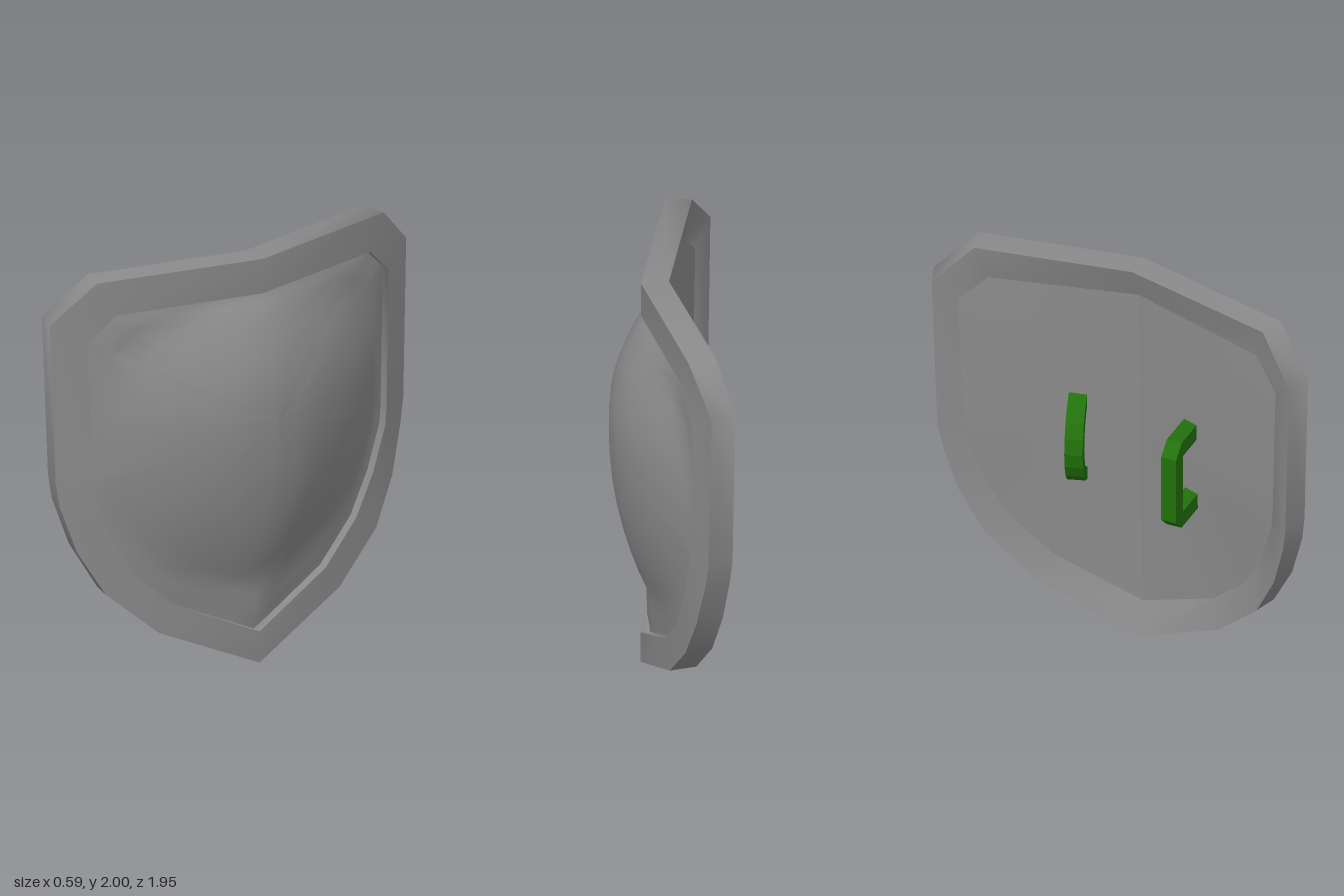
import * as THREE from 'three';
import { toCreasedNormals } from 'three/addons/utils/BufferGeometryUtils.js';

// Matching [z, y] corners of the rim's outer and inner edge
const OUTER = [[0, 2], [0.79, 2], [0.98, 1.8], [0.955, 1.02], [0.94, 0.9], [0.87, 0.67], [0.75, 0.45], [0.51, 0.23],
  [0.02, 0], [-0.49, 0.23], [-0.73, 0.45], [-0.85, 0.67], [-0.92, 0.9], [-0.945, 1.02], [-0.97, 1.8], [-0.78, 2]];
const INNER = [[0, 1.83], [0.7, 1.83], [0.83, 1.7], [0.81, 1.02], [0.8, 0.94], [0.73, 0.73], [0.62, 0.53], [0.43, 0.35],
  [0.02, 0.155], [-0.4, 0.35], [-0.6, 0.54], [-0.71, 0.73], [-0.79, 0.94], [-0.8, 1.02], [-0.82, 1.7], [-0.69, 1.83]];

// Piecewise linear lookup through [input, output] pairs
function lookup(table, t) {
  for (let i = 1; i < table.length; i++) {
    const [a, va] = table[i - 1], [b, vb] = table[i];
    if (t <= b || i === table.length - 1) return va + (vb - va) * (t - a) / (b - a);
  }
}

// Folded shape of the shield: x of the rim's front and back at a given z
const frontX = (z) => lookup([[-0.97, -0.05], [-0.79, 0.03], [-0.5, 0.08], [0.01, 0.15], [0.51, 0.03], [0.79, -0.07], [0.98, -0.18]], z);
const backX = (z) => lookup([[-0.94, -0.17], [-0.75, -0.1], [-0.5, -0.05], [0.01, 0.02], [0.5, -0.09], [0.76, -0.19], [0.94, -0.3]], z);
// Inner lip of the back, set deeper near the fold
const lipX = (z) => backX(z) + 0.02 + 0.055 * Math.max(0, 1 - Math.abs(z) / 0.8);

const mix = (p, q, t) => [p[0] + (q[0] - p[0]) * t, p[1] + (q[1] - p[1]) * t];

// Skin a series of closed rings of Vector3
function loft(rings) {
  const n = rings[0].length, index = [];
  for (let k = 0; k < rings.length - 1; k++) {
    for (let i = 0; i < n; i++) {
      const j = (i + 1) % n;
      const a = k * n + i, b = k * n + j, c = b + n, d = a + n;
      index.push(a, b, c, a, c, d);
    }
  }
  const g = new THREE.BufferGeometry().setFromPoints(rings.flat());
  g.setIndex(index);
  g.computeVertexNormals();
  return g;
}

// Split each outline segment so long edges can bend
const subdivide = (pts, parts) => pts.flatMap((p, i) =>
  Array.from({ length: parts }, (_, k) => mix(p, pts[(i + 1) % pts.length], k / parts)));

// Rim frame: flat front band, sides tapering towards the back
function buildRim() {
  const ring = (pts, xOf, taper = 1) => pts.map(([z, y]) => new THREE.Vector3(xOf(z * taper), y, z * taper));
  return toCreasedNormals(loft([
    ring(INNER, lipX),
    ring(OUTER, backX, 0.955),
    ring(OUTER, frontX),
    ring(INNER, frontX),
    ring(INNER, lipX),
  ]), 1.0);
}

// Domed face: rings of the inner outline shrinking to the centre,
// with the fold softened towards the middle
function buildFace() {
  const centre = [0.02, 1.25];
  const edge = subdivide(INNER, 4);
  const rings = [1.005, 0.96, 0.91, 0.85, 0.78, 0.7, 0.6, 0.5, 0.38, 0.25, 0.12, 0].map((s) => edge.map((p) => {
    const [z, y] = mix(centre, p, s);
    const soft = 0.25 * Math.max(0, 1 - s);
    const fold = (frontX(z - soft) + frontX(z) + frontX(z + soft)) / 3;
    const r = Math.hypot((z - centre[0]) / 0.72, (y - centre[1]) / (y > centre[1] ? 0.53 : 0.8));
    const dome = Math.max(0.175 * (1 - r * r), -0.025);
    const tuck = THREE.MathUtils.smoothstep(s, 0.88, 1);
    return new THREE.Vector3(fold + THREE.MathUtils.lerp(dome, -0.045, tuck), y, z);
  }));
  return loft(rings);
}

// Folded backing: two flat wings meeting in a vertical crease
function buildBacking() {
  const rim = INNER.map(([z, y]) => new THREE.Vector3(lipX(z), y, z));
  return toCreasedNormals(loft([rim, INNER.map(() => new THREE.Vector3(0.09, 1.1, 0.01))]), 0.2);
}

// Extrude an x-y shape, centred on its depth
function extrude(points, depth) {
  const shape = new THREE.Shape(points.map(([x, y]) => new THREE.Vector2(x, y)));
  return new THREE.ExtrudeGeometry(shape, { depth, bevelEnabled: false }).translate(0, 0, -depth / 2);
}

export function createModel() {
  const model = new THREE.Group();
  model.name = 'shield';
  const steel = new THREE.MeshStandardMaterial({ color: 0x8a8a8a, side: THREE.DoubleSide });
  const green = new THREE.MeshStandardMaterial({ color: 0x22700c });

  const add = (name, geometry, material) => {
    const mesh = new THREE.Mesh(geometry, material);
    mesh.name = name;
    model.add(mesh);
    return mesh;
  };

  add('rim', buildRim(), steel);
  add('domedFace', buildFace(), steel);
  add('backing', buildBacking(), steel);

  // Squared hand grip with cut corners
  const grip = add('handGrip', extrude([
    [0.04, 1.285], [-0.2, 1.285], [-0.26, 1.225], [-0.26, 0.88], [-0.2, 0.82], [0.04, 0.82],
    [0.04, 0.9], [-0.185, 0.9], [-0.185, 1.205], [0.04, 1.205],
  ], 0.075), green);
  grip.position.z = 0.3125;

  // Half-ring arm strap
  const arc = (r, from, to) => Array.from({ length: 11 }, (_, i) => {
    const a = from + (to - from) * i / 10;
    return [r * Math.cos(a), r * Math.sin(a)];
  });
  const strap = add('armStrap', extrude([
    ...arc(0.25, Math.PI / 2, Math.PI * 1.5), ...arc(0.19, Math.PI * 1.5, Math.PI / 2),
  ], 0.085), green);
  strap.position.set(0.105, 1.02, -0.3);
  strap.rotation.y = 0.3;

  return model;
}
